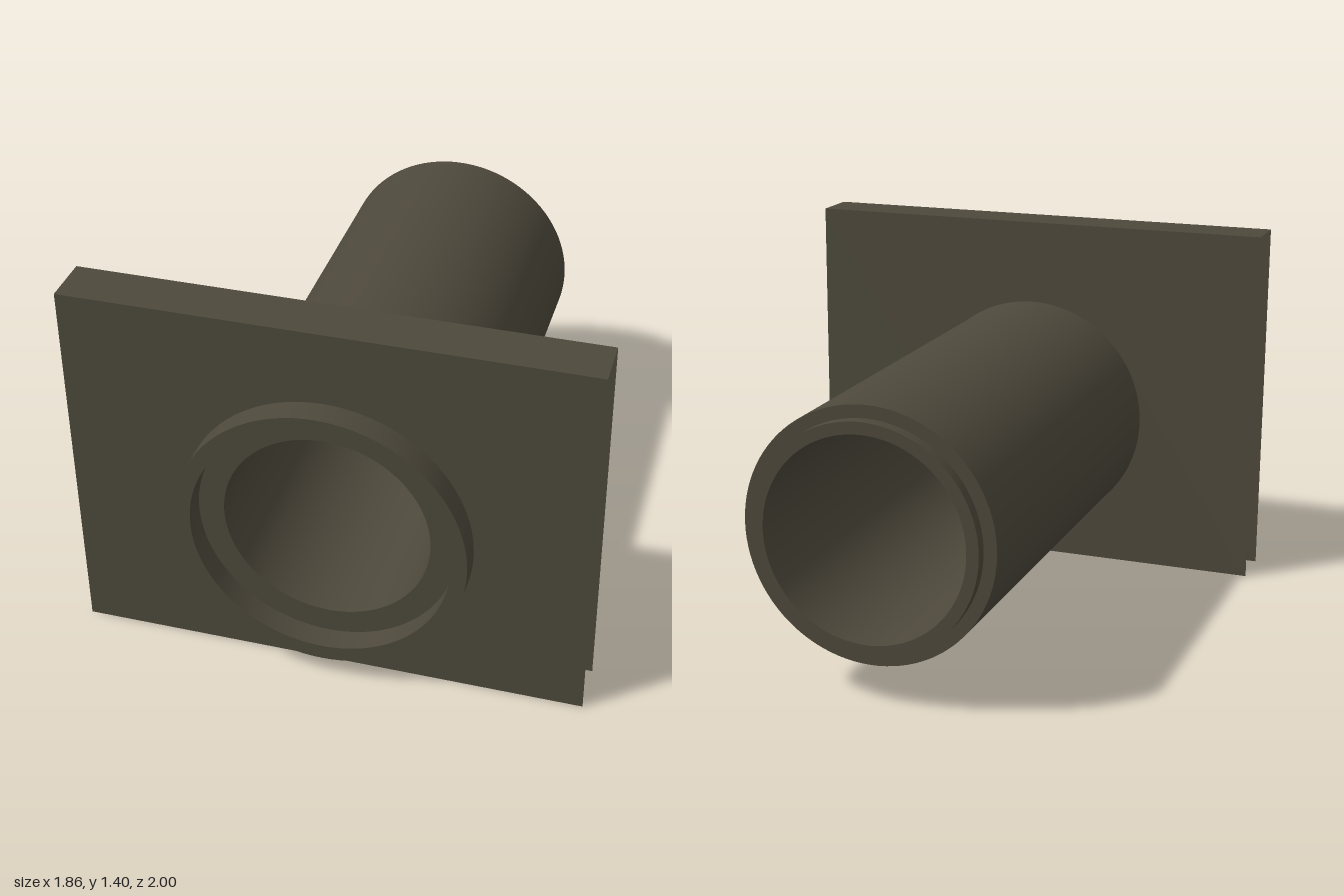
import * as THREE from 'three';
import { toCreasedNormals } from 'three/addons/utils/BufferGeometryUtils.js';

const AXIS_Y = 0.607, HALF_WIDTH = 0.93, HEIGHT = 1.4;
const FRONT_Z = 0.905, BACK_Z = 0.72;

export function createModel() {
  const model = new THREE.Group();
  model.name = 'wallSleeve';
  const material = new THREE.MeshStandardMaterial({ color: 0x4d483b, side: THREE.DoubleSide });
  material.name = 'darkBrown';

  const add = (name, geometry, x, y, z) => {
    const mesh = new THREE.Mesh(geometry, material);
    mesh.name = name;
    mesh.position.set(x, y, z);
    model.add(mesh);
    return mesh;
  };

  // Hollow pipe: stepped tip at the back, flared socket at the front (radius, z)
  const profile = [
    [0.372, -1], [0.416, -1], [0.416, -0.955], [0.463, -0.955],
    [0.463, 0.7], [0.468, 0.754], [0.479, 0.797], [0.495, 0.845], [0.522, FRONT_Z],
    [0.522, 1], [0.465, 1], [0.465, 0.91], [0.372, 0.91], [0.372, -1],
  ].map(([r, z]) => new THREE.Vector2(r, z));
  const pipe = new THREE.LatheGeometry(profile, 96);
  pipe.rotateX(Math.PI / 2);
  add('pipe', toCreasedNormals(pipe, 0.4), 0, AXIS_Y, 0);

  // Wall faces, each with a round opening for the pipe
  const wallFace = (radius) => {
    const shape = new THREE.Shape();
    shape.moveTo(-HALF_WIDTH, 0);
    shape.lineTo(HALF_WIDTH, 0);
    shape.lineTo(HALF_WIDTH, HEIGHT);
    shape.lineTo(-HALF_WIDTH, HEIGHT);
    shape.closePath();
    shape.holes.push(new THREE.Path().absarc(0, AXIS_Y, radius, 0, Math.PI * 2, true));
    return new THREE.ShapeGeometry(shape, 48);
  };
  add('wallFront', wallFace(0.522), 0, 0, FRONT_Z);
  const back = wallFace(0.464);
  back.rotateY(Math.PI);
  add('wallBack', back, 0, 0, BACK_Z);

  // Top of the wall; its sides and underside stay open
  const top = new THREE.PlaneGeometry(HALF_WIDTH * 2, FRONT_Z - BACK_Z);
  top.rotateX(-Math.PI / 2);
  add('wallTop', top, 0, HEIGHT, (FRONT_Z + BACK_Z) / 2);

  return model;
}
